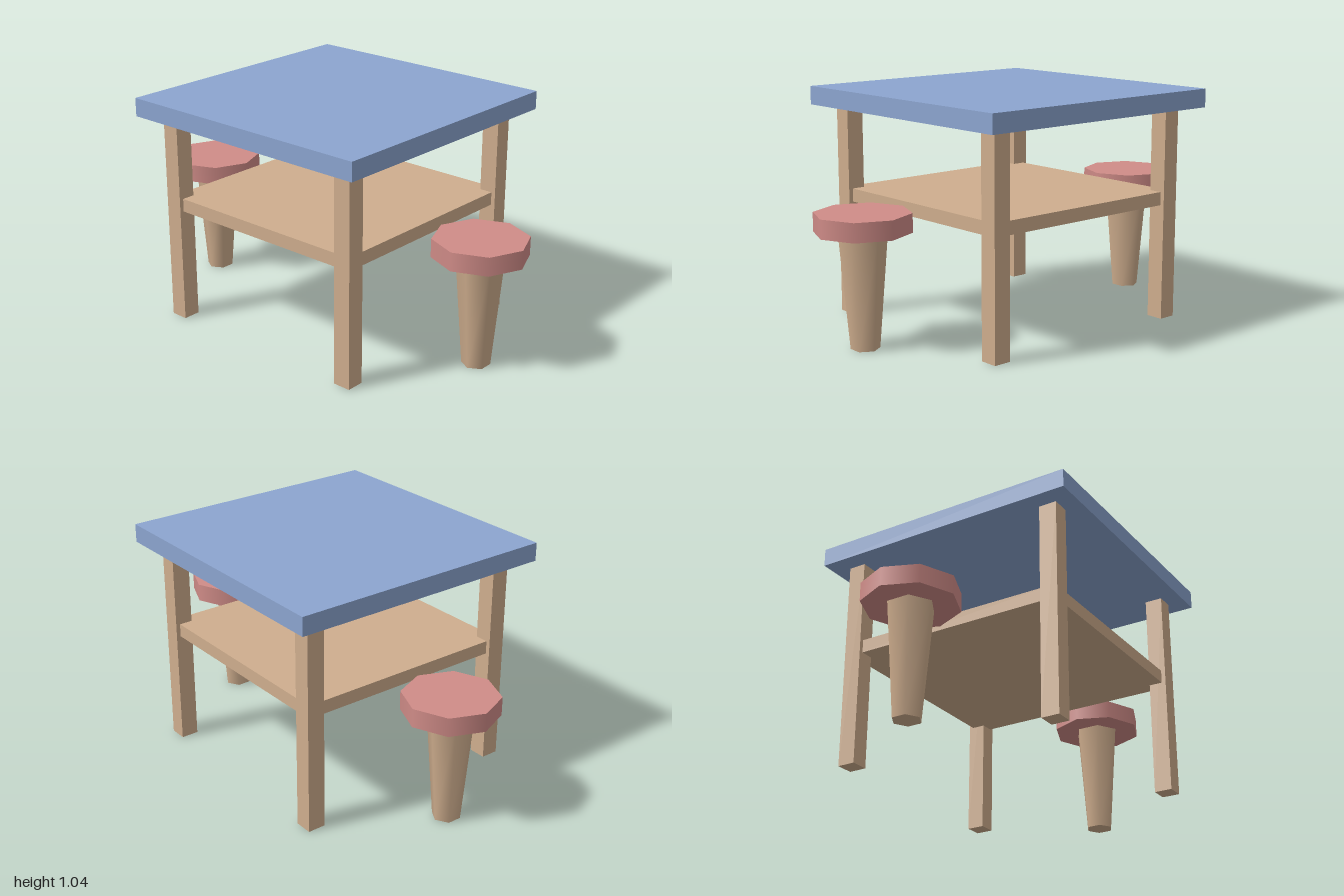
import * as THREE from 'three';

export function createModel() {
  const model = new THREE.Group();
  const blue = new THREE.MeshStandardMaterial({ name: 'blue paint', color: 0x8ca5d0 });
  const wood = new THREE.MeshStandardMaterial({ name: 'light wood', color: 0xcfae8e });
  const red = new THREE.MeshStandardMaterial({ name: 'red cushion', color: 0xd08c88 });

  const add = (parent, name, geometry, material, x, y, z) => {
    const mesh = new THREE.Mesh(geometry, material);
    mesh.name = name;
    mesh.position.set(x, y, z);
    parent.add(mesh);
    return mesh;
  };

  // Table: top, lower shelf and four square legs
  const table = new THREE.Group();
  table.name = 'table';
  model.add(table);
  add(table, 'tableTop', new THREE.BoxGeometry(1.246, 0.083, 1.246), blue, 0, 1.0, 0);
  add(table, 'shelf', new THREE.BoxGeometry(1.04, 0.06, 1.04), wood, 0, 0.553, 0);
  const legGeometry = new THREE.BoxGeometry(0.081, 0.96, 0.081);
  for (const x of [-1, 1]) {
    for (const z of [-1, 1]) {
      const name = (z > 0 ? 'front' : 'back') + (x > 0 ? 'Left' : 'Right') + 'Leg';
      add(table, name, legGeometry, wood, x * 0.499, 0.48, z * 0.499);
    }
  }

  // Two stools: octagonal seat on a tapered six-sided pedestal
  const seatGeometry = new THREE.CylinderGeometry(0.208, 0.208, 0.083, 8);
  const pedestalGeometry = new THREE.CylinderGeometry(0.104, 0.0625, 0.5, 6);
  pedestalGeometry.rotateY(Math.PI / 2);
  for (const side of [1, -1]) {
    const stool = new THREE.Group();
    stool.name = side > 0 ? 'frontStool' : 'backStool';
    stool.position.z = side * 0.792;
    add(stool, 'seat', seatGeometry, red, 0, 0.542, 0);
    add(stool, 'pedestal', pedestalGeometry, wood, 0, 0.25, 0);
    model.add(stool);
  }
  return model;
}
